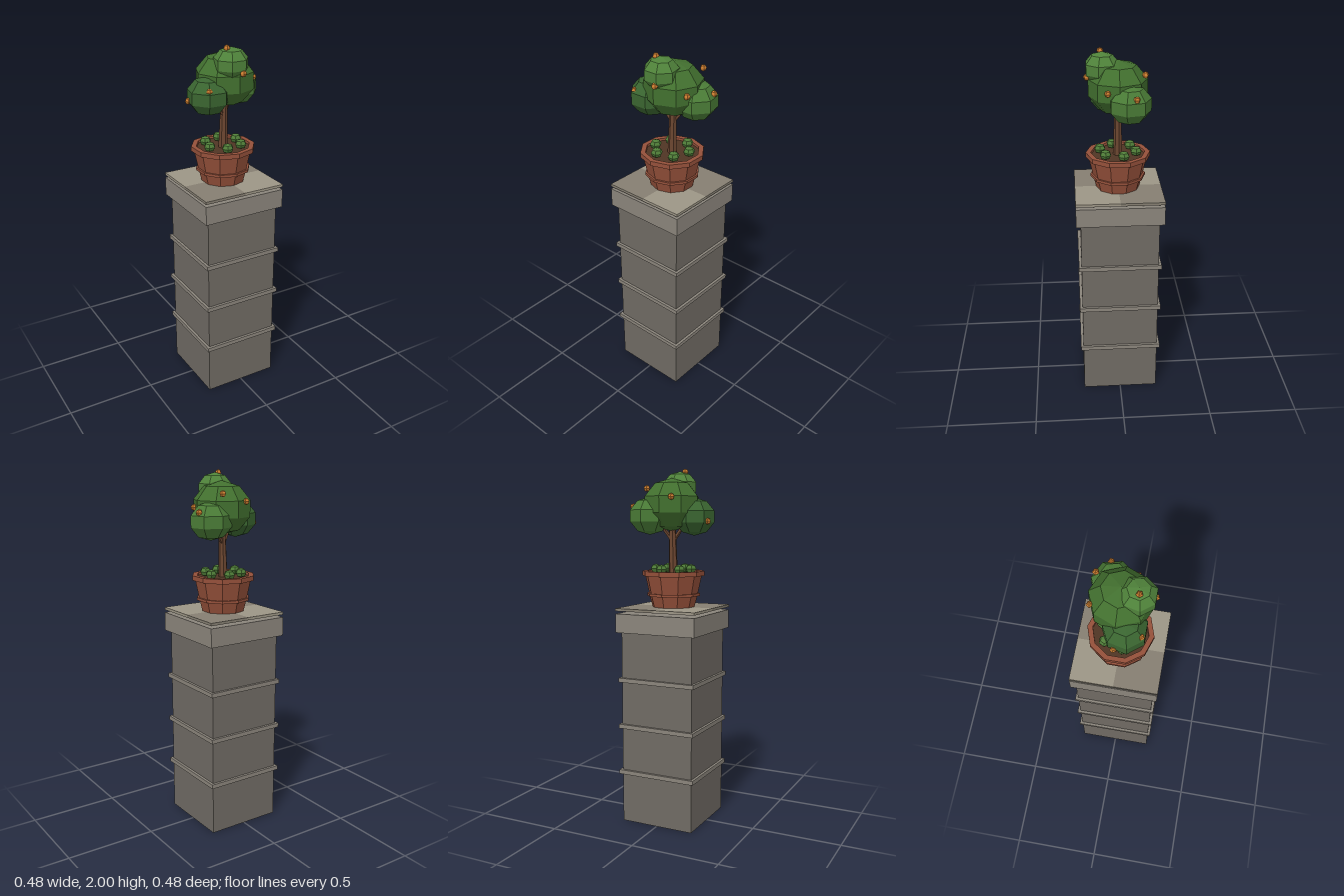
import * as THREE from 'three';

const mat = (color) => new THREE.MeshStandardMaterial({ color, flatShading: true });

const stone = mat(0x6f6a63), trim = mat(0x8a847b);
const tileLight = mat(0x9c9585), tileDark = mat(0x857e71);
const terracotta = mat(0x94503a), soilMat = mat(0x4f3524), bark = mat(0x6b4630);
const orange = mat(0xcf7f30), sprout = mat(0x4f7d38);

export function createModel() {
  const model = new THREE.Group();
  model.name = 'pottedTreeOnPillar';

  const add = (name, geometry, material, x = 0, y = 0, z = 0, parent = model) => {
    const mesh = new THREE.Mesh(geometry, material);
    mesh.name = name;
    mesh.position.set(x, y, z);
    parent.add(mesh);
    return mesh;
  };
  const group = (name) => {
    const g = new THREE.Group();
    g.name = name;
    model.add(g);
    return g;
  };
  // Square block spanning y0..y1
  const block = (name, size, y0, y1, material, parent) =>
    add(name, new THREE.BoxGeometry(size, y1 - y0, size), material, 0, (y0 + y1) / 2, 0, parent);
  // Tapered limb between two points
  const limb = (name, a, b, r0, r1, sides, parent) => {
    const from = new THREE.Vector3(...a), dir = new THREE.Vector3(...b).sub(from);
    const length = dir.length();
    const geometry = new THREE.CylinderGeometry(r1, r0, length, sides).translate(0, length / 2, 0);
    add(name, geometry, bark, ...a, parent)
      .quaternion.setFromUnitVectors(new THREE.Vector3(0, 1, 0), dir.normalize());
  };

  // Pillar: shaft, three bands and a cap
  const pillar = group('pillar');
  block('shaft', 0.43, 0, 1.1, stone, pillar);
  for (const y of [0.295, 0.563, 0.83]) block('band', 0.46, y - 0.012, y + 0.012, trim, pillar);
  block('cap', 0.48, 1.1, 1.205, trim, pillar);

  // Four chequered tiles floating just above the cap
  const tiles = group('topTiles');
  for (const sx of [-1, 1]) for (const sz of [-1, 1]) {
    add('tile', new THREE.BoxGeometry(0.24, 0.015, 0.24), sx === sz ? tileLight : tileDark,
      sx * 0.12, 1.2275, sz * 0.12, tiles);
  }

  // Ten-sided pot with a raised band and a lip
  const profile = [
    [0, 1.235], [0.12, 1.235], [0.136, 1.297], [0.15, 1.297], [0.15, 1.312], [0.139, 1.312],
    [0.16, 1.41], [0.176, 1.41], [0.176, 1.436], [0.148, 1.436], [0.146, 1.41],
  ].map(([r, y]) => new THREE.Vector2(r, y));
  const pot = group('pot');
  add('potShell', new THREE.LatheGeometry(profile, 10), terracotta, 0, 0, 0, pot);
  add('soil', new THREE.CylinderGeometry(0.147, 0.145, 0.02, 10), soilMat, 0, 1.413, 0, pot);

  // Ring of small plants on the soil
  const plants = group('groundPlants');
  for (let i = 0; i < 6; i++) {
    const a = (15 + i * 60) * Math.PI / 180;
    add('plant', new THREE.SphereGeometry(0.033, 6, 4).scale(1, 0.8, 1), sprout,
      Math.cos(a) * 0.1, 1.448, -Math.sin(a) * 0.1, plants);
  }

  // Trunk and two forked branches
  const tree = group('tree');
  limb('trunk', [0, 1.41, 0], [0.008, 1.72, 0], 0.026, 0.018, 7, tree);
  limb('branch', [0.003, 1.6, 0], [-0.08, 1.73, 0.03], 0.012, 0.008, 5, tree);
  limb('branch', [0.003, 1.6, 0], [0.09, 1.73, -0.04], 0.012, 0.008, 5, tree);

  // Foliage: position, radius, sides, turn in degrees, colour
  const crowns = [
    [0.01, 1.8, 0, 0.165, 8, 0, 0x42702f],
    [-0.11, 1.735, 0.04, 0.118, 7, 13, 0x3a6530],
    [0.118, 1.74, -0.055, 0.118, 7, -141, 0x4a7b36],
    [0, 1.9, 0.083, 0.097, 7, -90, 0x4f823a],
  ];
  for (const [x, y, z, r, sides, turn, color] of crowns) {
    add('foliage', new THREE.SphereGeometry(r, sides, 5).scale(1, 0.88, 1), mat(color), x, y, z, tree)
      .rotation.y = turn * Math.PI / 180;
  }

  // Fruit scattered over the crown
  const fruit = [
    [-0.03, 1.982, 0.09], [0.025, 1.86, 0.163], [-0.15, 1.778, 0.123], [-0.208, 1.71, 0],
    [0.148, 1.805, 0.06], [0.207, 1.79, -0.083], [0.093, 1.885, -0.135], [-0.055, 1.84, -0.138],
  ];
  for (const p of fruit) add('fruit', new THREE.SphereGeometry(0.018, 5, 4), orange, ...p, tree);

  return model;
}
